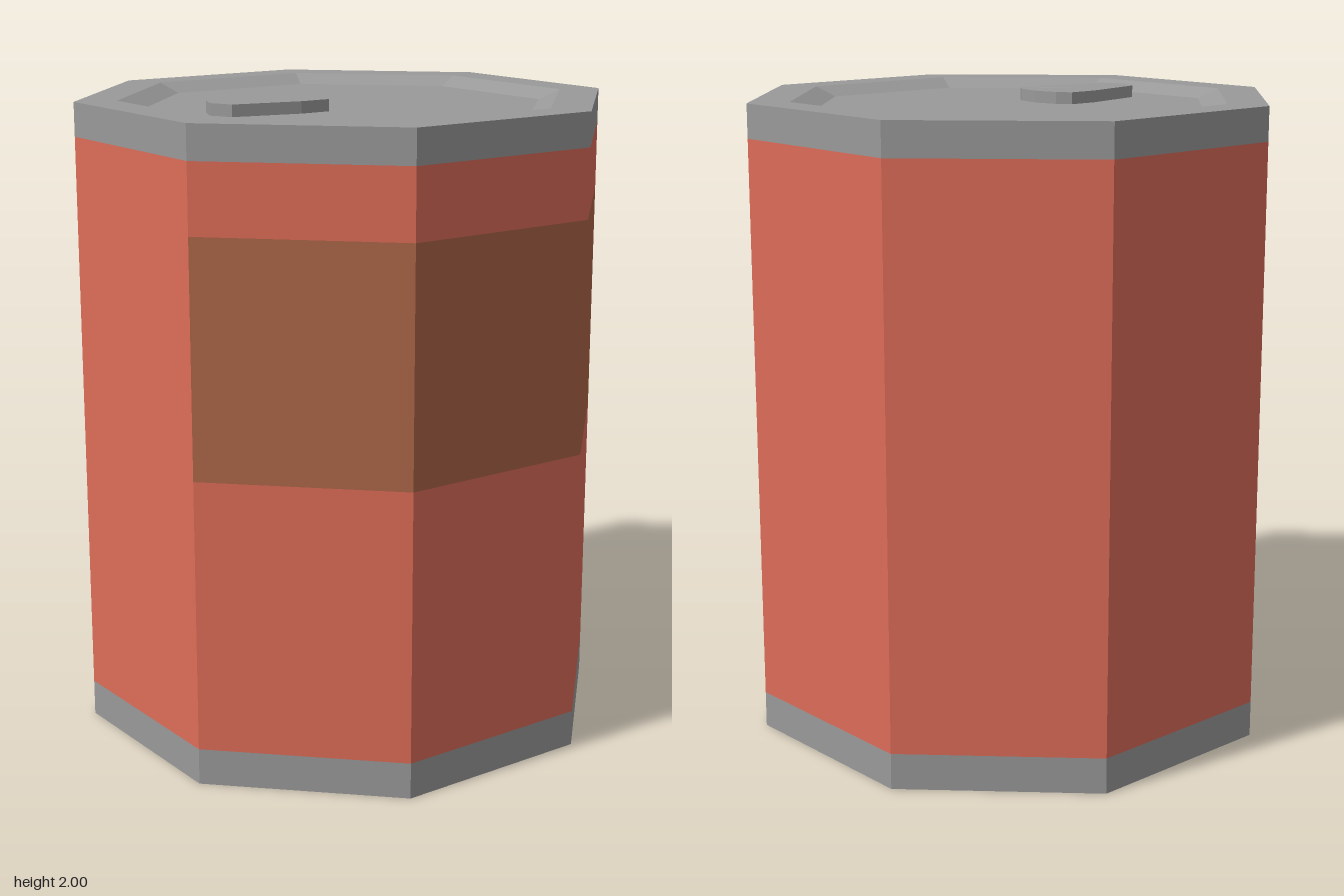
import * as THREE from 'three';

const SIDES = 8;
const STEP = (Math.PI * 2) / SIDES;
const RADIUS = 0.84;
const RIM_TOP = 1.993, FLOOR = 1.963, RECESS = 0.03;
const CAP_BOTTOM = 1.888, BASE_TOP = 0.113;
const LABEL_LOW = 0.955, LABEL_HIGH = 1.675;

const material = (name, color) => {
  const m = new THREE.MeshStandardMaterial({ color });
  m.name = name;
  return m;
};

// Give every face its own normal
function faceted(geometry) {
  const g = geometry.toNonIndexed();
  g.computeVertexNormals();
  return g;
}

export function createModel() {
  const group = new THREE.Group();
  group.name = 'can';
  const metal = material('metal grey', 0x999999);
  const red = material('can red', 0xdd6c58);
  const brown = material('label brown', 0xad6547);

  const add = (name, geometry, mat) => {
    const mesh = new THREE.Mesh(geometry, mat);
    mesh.name = name;
    group.add(mesh);
    return mesh;
  };

  // Strip of wall panels; panel 0 is centred on the front
  const wall = (name, low, high, first, count, mat) => {
    const g = new THREE.CylinderGeometry(RADIUS, RADIUS, high - low, count, 1, true,
      (first - 0.5) * STEP, count * STEP);
    g.translate(0, (low + high) / 2, 0);
    add(name, faceted(g), mat);
  };
  wall('lowerWall', BASE_TOP, LABEL_LOW, 0, SIDES, red);
  wall('frontLabel', LABEL_LOW, LABEL_HIGH, -1, 3, brown);
  wall('middleWall', LABEL_LOW, LABEL_HIGH, 2, 5, red);
  wall('upperWall', LABEL_HIGH, CAP_BOTTOM, 0, SIDES, red);

  // Octagonal end caps with a shallow sloped recess
  const cap = (name, profile) => {
    const points = profile.map(([x, y]) => new THREE.Vector2(x, y));
    add(name, faceted(new THREE.LatheGeometry(points, SIDES, STEP / 2)), metal);
  };
  cap('lid', [[RADIUS, CAP_BOTTOM], [RADIUS, RIM_TOP], [0.709, RIM_TOP], [0.638, FLOOR], [0, FLOOR]]);
  cap('base', [[0, RECESS], [0.638, RECESS], [0.709, 0], [RADIUS, 0], [RADIUS, BASE_TOP]]);

  // Pull tab: half outline mirrored across its long axis, with a finger hole
  const mirrored = (half) => [
    ...half,
    ...half.slice(1, -1).reverse().map(([x, y]) => [x, -y]),
  ].map(([x, y]) => new THREE.Vector2(x, y));
  const tab = new THREE.Shape(mirrored([
    [-0.495, 0], [-0.462, 0.072], [-0.245, 0.12], [-0.145, 0.12], [-0.115, 0.08], [-0.1, 0],
  ]));
  tab.holes.push(new THREE.Path(mirrored([
    [-0.257, 0], [-0.24, 0.06], [-0.193, 0.085], [-0.15, 0.06], [-0.135, 0],
  ])));
  const tabGeometry = new THREE.ExtrudeGeometry(tab, { depth: 2 - FLOOR, bevelEnabled: false });
  tabGeometry.rotateX(-Math.PI / 2);
  tabGeometry.translate(0, FLOOR, 0);
  add('pullTab', tabGeometry, metal);

  return group;
}
